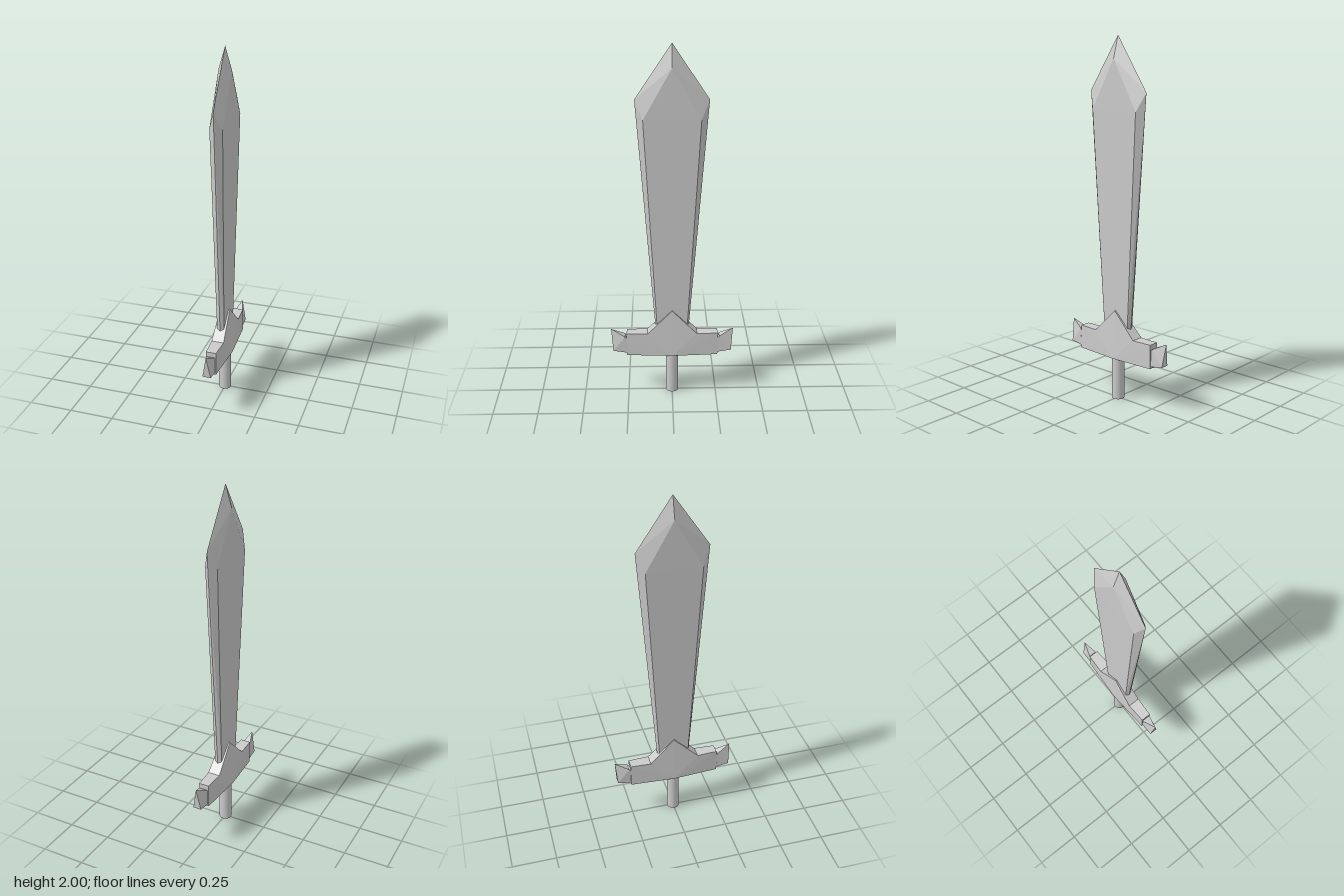
import * as THREE from 'three';
import { ConvexGeometry } from 'three/addons/geometries/ConvexGeometry.js';

const flat = new THREE.MeshStandardMaterial({ color: 0xcccccc, flatShading: true });
const smooth = new THREE.MeshStandardMaterial({ color: 0xcccccc });

function add(parent, name, geometry, material = flat) {
  const mesh = new THREE.Mesh(geometry, material);
  mesh.name = name;
  parent.add(mesh);
  return mesh;
}

// Convex solid from corner points, each mirrored across x and (optionally) z
function mirroredHull(points, mirrorZ) {
  const out = [];
  for (const [x, y, z] of points)
    for (const sx of x ? [1, -1] : [1])
      for (const sz of z && mirrorZ ? [1, -1] : [1])
        out.push(new THREE.Vector3(x * sx, y, z * sz));
  return new ConvexGeometry(out);
}

// Solid whose outline (z, y, half thickness) runs counter-clockwise seen from +x;
// the side faces fan out from the first outline point
function slab(outline) {
  const n = outline.length;
  const positions = [], index = [];
  for (const side of [1, -1])
    for (const [z, y, t] of outline) positions.push(side * t, y, z);
  for (let i = 0; i < n; i++) {
    const j = (i + 1) % n;
    index.push(i, n + i, n + j, i, n + j, j);
    if (i > 0 && j > 0) index.push(0, i, j, n, n + j, n + i);
  }
  const g = new THREE.BufferGeometry();
  g.setAttribute('position', new THREE.Float32BufferAttribute(positions, 3));
  g.setIndex(index);
  const faceted = g.toNonIndexed();
  faceted.computeVertexNormals();
  return faceted;
}

export function createModel() {
  const sword = new THREE.Group();
  sword.name = 'sword';

  // Blade: bevelled hexagonal section widening towards a faceted point
  add(sword, 'blade', mirroredHull([
    [0.02, 0.42, 0.085], [0, 0.42, 0.095],
    [0.035, 1.61, 0.152], [0, 1.71, 0.195],
    [0.035, 1.88, 0], [0, 2, 0],
  ], true));

  // Crossguard: thickest at the bottom centre, with a peak over the blade root
  const half = [[-0.257, 0.24, 0.029], [-0.257, 0.375, 0.029], [-0.14, 0.375, 0.035]];
  const mirrored = half.map(([z, y, t]) => [-z, y, t]).reverse();
  add(sword, 'crossguard', slab([[0, 0.24, 0.045], ...half, [0, 0.515, 0.028], ...mirrored]));

  // Upturned points at both ends of the crossguard
  for (const side of [1, -1]) {
    const end = new THREE.Group();
    end.name = side > 0 ? 'frontGuardEnd' : 'backGuardEnd';
    const neck = add(end, 'neck', new THREE.BoxGeometry(0.046, 0.092, 0.03));
    neck.position.set(0, 0.299, 0.252);
    add(end, 'point', mirroredHull([
      [0.0235, 0.352, 0.266], [0.0235, 0.253, 0.262],
      [0.0235, 0.265, 0.334], [0, 0.392, 0.345],
    ], false));
    if (side < 0) end.rotation.y = Math.PI;
    sword.add(end);
  }

  // Grip
  add(sword, 'grip', new THREE.CylinderGeometry(0.035, 0.035, 0.25, 32), smooth).position.y = 0.125;

  return sword;
}
